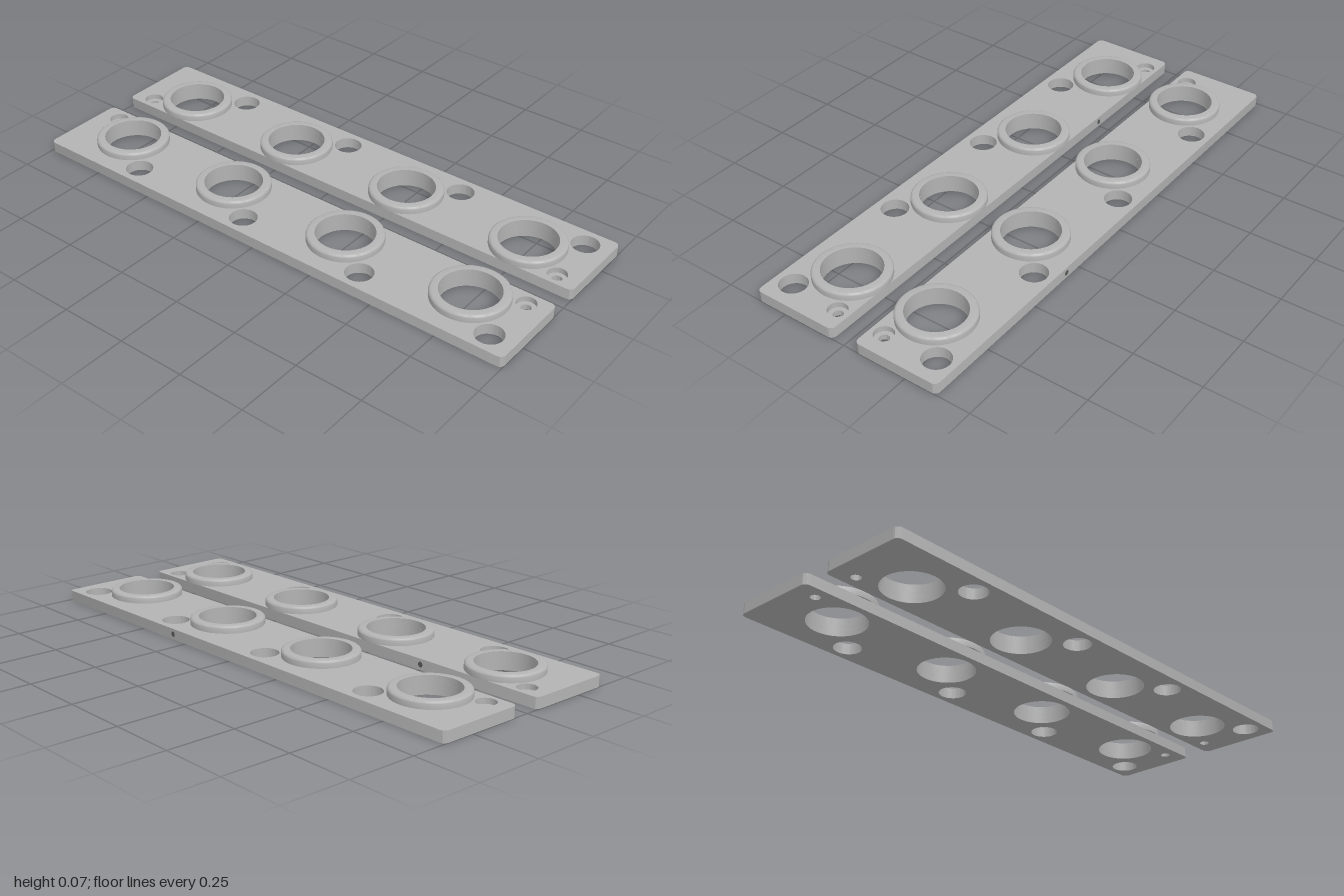
import * as THREE from 'three';
import { toCreasedNormals } from 'three/addons/utils/BufferGeometryUtils.js';

const Z = 0.21, HALF_W = 0.163, T = 0.04, FLOOR = 0.02;
const RING_Z = 0.178, BORE = 0.105;
const RING_X = [-0.758, -0.254, 0.251, 0.756];

// Rounded bar outline with bores, side holes and screw holes; s is the side in z
function plateLayer(s, screwRadius, y, height) {
  const shape = new THREE.Shape();
  const c = -s * Z, r = 0.02, w = HALF_W;
  shape.moveTo(-1 + r, c - w);
  shape.absarc(1 - r, c - w + r, r, -Math.PI / 2, 0);
  shape.absarc(1 - r, c + w - r, r, 0, Math.PI / 2);
  shape.absarc(-1 + r, c + w - r, r, Math.PI / 2, Math.PI);
  shape.absarc(-1 + r, c - w + r, r, Math.PI, Math.PI * 1.5);
  const hole = (x, z, radius) => shape.holes.push(
    new THREE.Path().absarc(x, -s * z, radius, 0, Math.PI * 2, true));
  for (const x of RING_X) {
    hole(x, RING_Z, BORE);
    hole(x + 0.151, 0.3, 0.05);
  }
  for (const x of [-0.917, 0.917]) hole(x, 0.097, screwRadius);
  const geo = new THREE.ExtrudeGeometry(shape, { depth: height, bevelEnabled: false, curveSegments: 24 });
  geo.rotateX(-Math.PI / 2).translate(0, y, 0);
  return toCreasedNormals(geo, 0.6);
}

// Raised collar with a rounded outer top edge, closed underneath
function ringGeometry() {
  const pts = [[BORE, 0], [0.136, 0], [0.136, 0.018], [0.1345, 0.0225], [0.131, 0.0258], [0.127, 0.027], [BORE, 0.027], [BORE, 0]];
  const geo = new THREE.LatheGeometry(pts.map(p => new THREE.Vector2(...p)), 64);
  return toCreasedNormals(geo, 0.6);
}

export function createModel() {
  const model = new THREE.Group();
  model.name = 'ringPlates';
  const grey = new THREE.MeshStandardMaterial({ color: 0xb3b3b3 });
  grey.name = 'grey';
  const darkGrey = new THREE.MeshStandardMaterial({ color: 0x5a5a5a });
  darkGrey.name = 'darkGrey';
  const add = (parent, name, geo, mat = grey) => {
    const mesh = new THREE.Mesh(geo, mat);
    mesh.name = name;
    parent.add(mesh);
    return mesh;
  };

  const ring = ringGeometry();
  for (const s of [1, -1]) {
    const bar = new THREE.Group();
    bar.name = s > 0 ? 'frontBar' : 'backBar';
    model.add(bar);

    // Plate in two layers, so that the screw holes are counterbored
    add(bar, 'lowerPlate', plateLayer(s, 0.018, 0, FLOOR));
    add(bar, 'upperPlate', plateLayer(s, 0.035, FLOOR, T - FLOOR));

    // Collars around the large bores
    for (const x of RING_X) add(bar, 'collar', ring).position.set(x, T, s * RING_Z);

    // Small pin hole in the rear edge
    const pin = add(bar, 'pinHole', new THREE.CircleGeometry(0.01, 16), darkGrey);
    pin.rotation.y = Math.PI;
    pin.position.set(s > 0 ? -0.5 : 0.32, T / 2, s * Z - HALF_W - 0.001);
  }
  return model;
}
